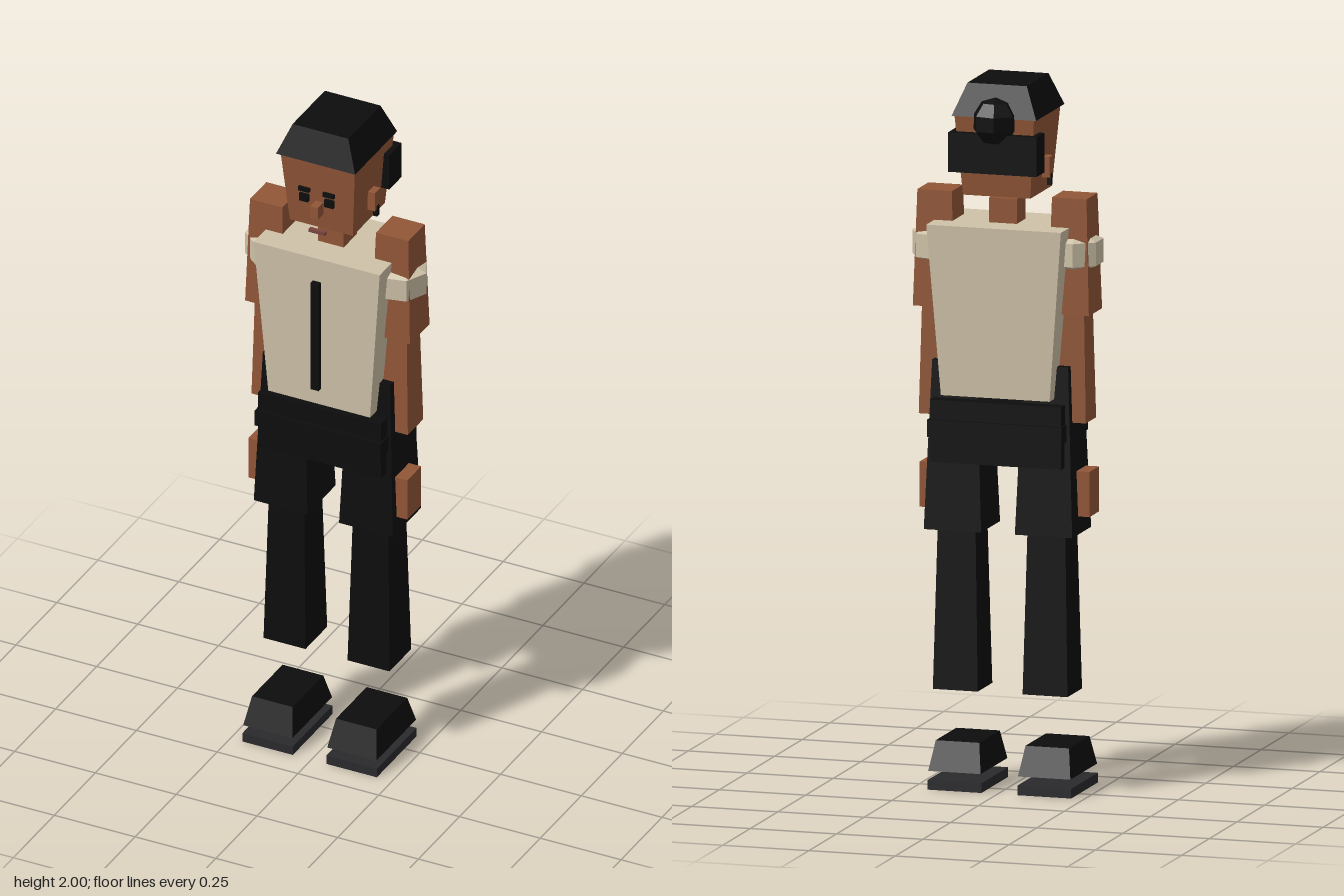
import * as THREE from 'three';

export function createModel() {
  const model = new THREE.Group();
  model.name = 'blockFigure';
  model.position.x = -0.005;

  const mat = (name, color) => {
    const m = new THREE.MeshStandardMaterial({ color, flatShading: true });
    m.name = name;
    return m;
  };
  const skin = mat('skin', 0x915637);
  const shirt = mat('cream shirt', 0xcec2a8);
  const black = mat('black cloth and hair', 0x0d0d0d);
  const sole = mat('dark grey sole', 0x2a292d);
  const lips = mat('lips', 0x7a4540);

  const add = (name, geometry, material, x, y, z) => {
    const mesh = new THREE.Mesh(geometry, material);
    mesh.name = name;
    mesh.position.set(x, y, z);
    model.add(mesh);
    return mesh;
  };

  // Box between two heights with its own [width, depth] at bottom and top
  const block = (name, material, x, z, y0, y1, bottom, top = bottom) => {
    const g = new THREE.BoxGeometry(1, y1 - y0, 1);
    const p = g.attributes.position;
    for (let i = 0; i < p.count; i++) {
      const s = p.getY(i) > 0 ? top : bottom;
      p.setX(i, p.getX(i) * s[0]);
      p.setZ(i, p.getZ(i) * s[1]);
    }
    g.computeVertexNormals();
    return add(name, g, material, x, (y0 + y1) / 2, z);
  };

  // Coarse seven-sided ball with a corner towards +x
  const ball = (name, material, x, y, z, r, rings, squash) => {
    const g = new THREE.SphereGeometry(r, 7, rings).rotateY(Math.PI).scale(1, squash, 1);
    return add(name, g, material, x, y, z);
  };

  // Head and hair
  block('head', skin, 0, 0, 1.685, 1.91, [0.195, 0.195], [0.23, 0.24]);
  block('hairCap', black, 0, 0.005, 1.91, 2.0, [0.245, 0.256], [0.172, 0.196]);
  block('hairBack', black, 0, -0.101, 1.755, 1.866, [0.256, 0.074]);
  ball('hairBun', black, 0, 1.898, -0.108, 0.068, 5, 1);
  block('neck', skin, 0, 0, 1.6, 1.67, [0.08, 0.08]);

  // Face
  block('nose', skin, 0, 0.126, 1.738, 1.776, [0.024, 0.034]);
  block('mouth', lips, 0, 0.12, 1.68, 1.69, [0.05, 0.012]);

  // Torso
  block('torso', shirt, 0, 0, 1.12, 1.6, [0.315, 0.222], [0.39, 0.252]);
  block('frontStripe', black, 0, 0.131, 1.18, 1.525, [0.025, 0.014]);
  block('hips', black, 0, 0, 0.93, 1.105, [0.38, 0.218]);
  block('belt', black, 0, 0, 1.002, 1.05, [0.39, 0.24]);

  for (const s of [-1, 1]) {
    const side = s > 0 ? 'left' : 'right';

    // Eye, brow, ear and earring
    block(side + 'Brow', black, s * 0.038, 0.128, 1.81, 1.822, [0.034, 0.009]);
    block(side + 'Eye', black, s * 0.039, 0.126, 1.777, 1.8, [0.028, 0.009]);
    block(side + 'Ear', skin, s * 0.115, 0.003, 1.73, 1.788, [0.022, 0.034]);
    block(side + 'Earring', black, s * 0.122, 0.003, 1.708, 1.74, [0.012, 0.014]);

    // Arm
    block(side + 'UpperArm', skin, s * 0.195, 0, 1.357, 1.683, [0.12, 0.12], [0.1, 0.1]);
    ball(side + 'SleeveCap', shirt, s * 0.196, 1.527, 0, 0.092, 3, 0.72);
    block(side + 'Forearm', skin, s * 0.195, 0, 1.052, 1.355, [0.094, 0.094], [0.08, 0.08]);
    block(side + 'Hand', skin, s * 0.202, 0.016, 0.785, 0.912, [0.088, 0.084]);

    // Leg
    block(side + 'Thigh', black, s * 0.132, 0, 0.735, 1.21, [0.166, 0.172], [0.13, 0.132]);
    block(side + 'Shin', black, s * 0.13, 0, 0.283, 0.733, [0.13, 0.132], [0.11, 0.108]);
    block(side + 'Shoe', black, s * 0.13, 0.047, 0.053, 0.135, [0.152, 0.242], [0.126, 0.186]);
    block(side + 'Sole', sole, s * 0.13, 0.048, 0, 0.027, [0.156, 0.242]);
  }
  return model;
}
